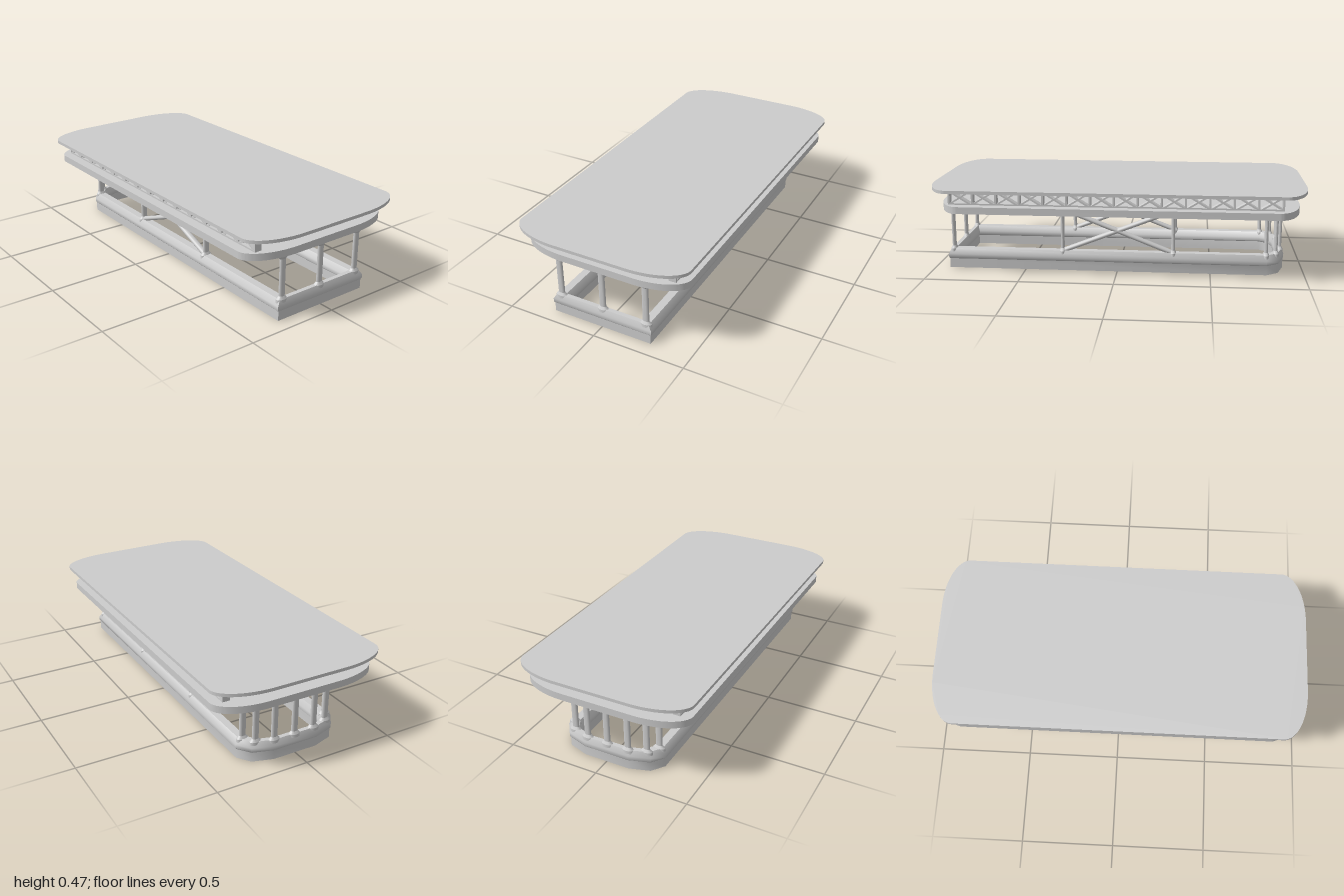
import * as THREE from 'three';
import { toCreasedNormals } from 'three/addons/utils/BufferGeometryUtils.js';

const Z_SQUASH = 1.75; // the tubes are wider across x than along z
const SIDE_X = 0.245, FRONT_Z = 0.902;

// Centre line of the frame: square corners in front, faceted round end at the back
const BACK = [[0, -0.882], [0.115, -0.878], [0.205, -0.85], [0.245, -0.795]];
const PATH = [
  ...BACK.slice(1), [SIDE_X, FRONT_Z], [-SIDE_X, FRONT_Z],
  ...BACK.slice(1).reverse().map(([x, z]) => [-x, z]),
];

export function createModel() {
  const model = new THREE.Group();
  const material = new THREE.MeshStandardMaterial({ color: 0xcccccc });

  function add(name, geometry, parent = model) {
    const mesh = new THREE.Mesh(geometry, material);
    mesh.name = name;
    parent.add(mesh);
    return mesh;
  }
  function group(name) {
    const g = new THREE.Group();
    g.name = name;
    model.add(g);
    return g;
  }

  // Horizontal slab with elliptical corners
  function slab(name, hx, z0, z1, rx, rz, y0, y1) {
    const s = new THREE.Shape();
    const a = -z1, b = -z0, q = Math.PI / 2;
    s.moveTo(-hx + rx, a);
    s.absellipse(hx - rx, a + rz, rx, rz, -q, 0, false, 0);
    s.absellipse(hx - rx, b - rz, rx, rz, 0, q, false, 0);
    s.absellipse(-hx + rx, b - rz, rx, rz, q, 2 * q, false, 0);
    s.absellipse(-hx + rx, a + rz, rx, rz, 2 * q, 3 * q, false, 0);
    const g = new THREE.ExtrudeGeometry(s, { depth: y1 - y0, bevelEnabled: false, curveSegments: 16 });
    g.rotateX(-Math.PI / 2).translate(0, y0, 0);
    add(name, toCreasedNormals(g, 0.5));
  }

  // Closed beam: sweep a profile of [outward offset, y] round the path with mitred corners
  function ringBeam(name, profile) {
    const pts = PATH.map(([x, z]) => new THREE.Vector2(x, z * Z_SQUASH));
    const n = pts.length, m = profile.length, pos = [], idx = [];
    const normal = (p, q) => {
      const t = q.clone().sub(p).normalize();
      return new THREE.Vector2(t.y, -t.x);
    };
    pts.forEach((p, i) => {
      const n1 = normal(pts[(i + n - 1) % n], p), n2 = normal(p, pts[(i + 1) % n]);
      const miter = n1.clone().add(n2).divideScalar(1 + n1.dot(n2));
      for (const [o, y] of profile) pos.push(p.x + miter.x * o, y, (p.y + miter.y * o) / Z_SQUASH);
      for (let j = 0; j < m; j++) {
        const i2 = (i + 1) % n, j2 = (j + 1) % m;
        const a = i * m + j, b = i * m + j2, c = i2 * m + j2, d = i2 * m + j;
        idx.push(a, b, c, a, c, d);
      }
    });
    const g = new THREE.BufferGeometry();
    g.setAttribute('position', new THREE.Float32BufferAttribute(pos, 3));
    g.setIndex(idx);
    add(name, toCreasedNormals(g, 0.9));
  }

  // Decks
  slab('topDeck', 0.475, -1, 1, 0.275, 0.13, 0.455, 0.472);
  slab('lowerDeck', 0.455, -0.963, 0.945, 0.26, 0.125, 0.345, 0.382);

  // Frame rings
  ringBeam('baseSkirt', [[0.034, 0], [0.034, 0.052], [-0.034, 0.052], [-0.034, 0]]);
  ringBeam('lowerRail', [[0.033, 0.05], [0.04, 0.057], [0.04, 0.078], [0.02, 0.106],
    [-0.02, 0.106], [-0.04, 0.078], [-0.04, 0.057], [-0.033, 0.05]]);
  ringBeam('upperRail', [[0.02, 0.329], [0.036, 0.348], [0.036, 0.362],
    [-0.036, 0.362], [-0.036, 0.348], [-0.02, 0.329]]);

  // Posts with flared ends
  const postProfile = [[0.034, 0.088], [0.032, 0.104], [0.018, 0.119],
    [0.018, 0.316], [0.032, 0.331], [0.034, 0.346]].map(([r, y]) => new THREE.Vector2(r, y));
  const postGeometry = toCreasedNormals(new THREE.LatheGeometry(postProfile, 16), 0.6);
  postGeometry.scale(1, 1, 1 / Z_SQUASH);
  const posts = group('posts');
  const spots = [[0, FRONT_Z], BACK[0]];
  for (const s of [-1, 1]) {
    for (const [x, z] of [...BACK.slice(1), [SIDE_X, -0.3], [SIDE_X, 0.3], [SIDE_X, FRONT_Z]]) {
      spots.push([s * x, z]);
    }
  }
  for (const [x, z] of spots) add('post', postGeometry, posts).position.set(x, 0, z);

  // Cross braces in the middle of each long side
  const braces = group('crossBraces');
  const braceLength = Math.hypot(0.6, 0.235);
  const braceGeometry = new THREE.CylinderGeometry(0.013, 0.013, braceLength, 16);
  braceGeometry.scale(1.35, 1, 1);
  for (const x of [-SIDE_X, SIDE_X]) {
    for (const s of [-1, 1]) {
      const brace = add('crossBrace', braceGeometry, braces);
      brace.position.set(x, 0.219, 0);
      brace.rotation.x = s * Math.atan2(0.6, 0.235);
    }
  }

  // Lattice girders carrying the top deck
  const BAYS = 14, Z0 = -0.868, Z1 = 0.882, Y0 = 0.38, Y1 = 0.457;
  const bay = (Z1 - Z0) / BAYS, height = Y1 - Y0, midY = (Y0 + Y1) / 2;
  const chord = new THREE.BoxGeometry(0.04, 0.01, Z1 - Z0);
  const upright = new THREE.BoxGeometry(0.04, height, 0.01);
  const diagonal = new THREE.BoxGeometry(0.036, Math.hypot(bay, height) - 0.012, 0.009);
  for (const x of [-0.381, 0.381]) {
    const girder = group(x > 0 ? 'leftGirder' : 'rightGirder');
    girder.position.x = x;
    for (const y of [Y0 + 0.005, Y1 - 0.005]) add('chord', chord, girder).position.set(0, y, (Z0 + Z1) / 2);
    for (let i = 0; i <= BAYS; i++) {
      const z = Z0 + 0.005 + (i * (Z1 - Z0 - 0.01)) / BAYS;
      add('upright', upright, girder).position.set(0, midY, z);
      if (i === BAYS) continue;
      for (const s of [-1, 1]) {
        const d = add('diagonal', diagonal, girder);
        d.position.set(0, midY, Z0 + (i + 0.5) * bay);
        d.rotation.x = s * Math.atan2(bay, height);
      }
    }
  }
  return model;
}
